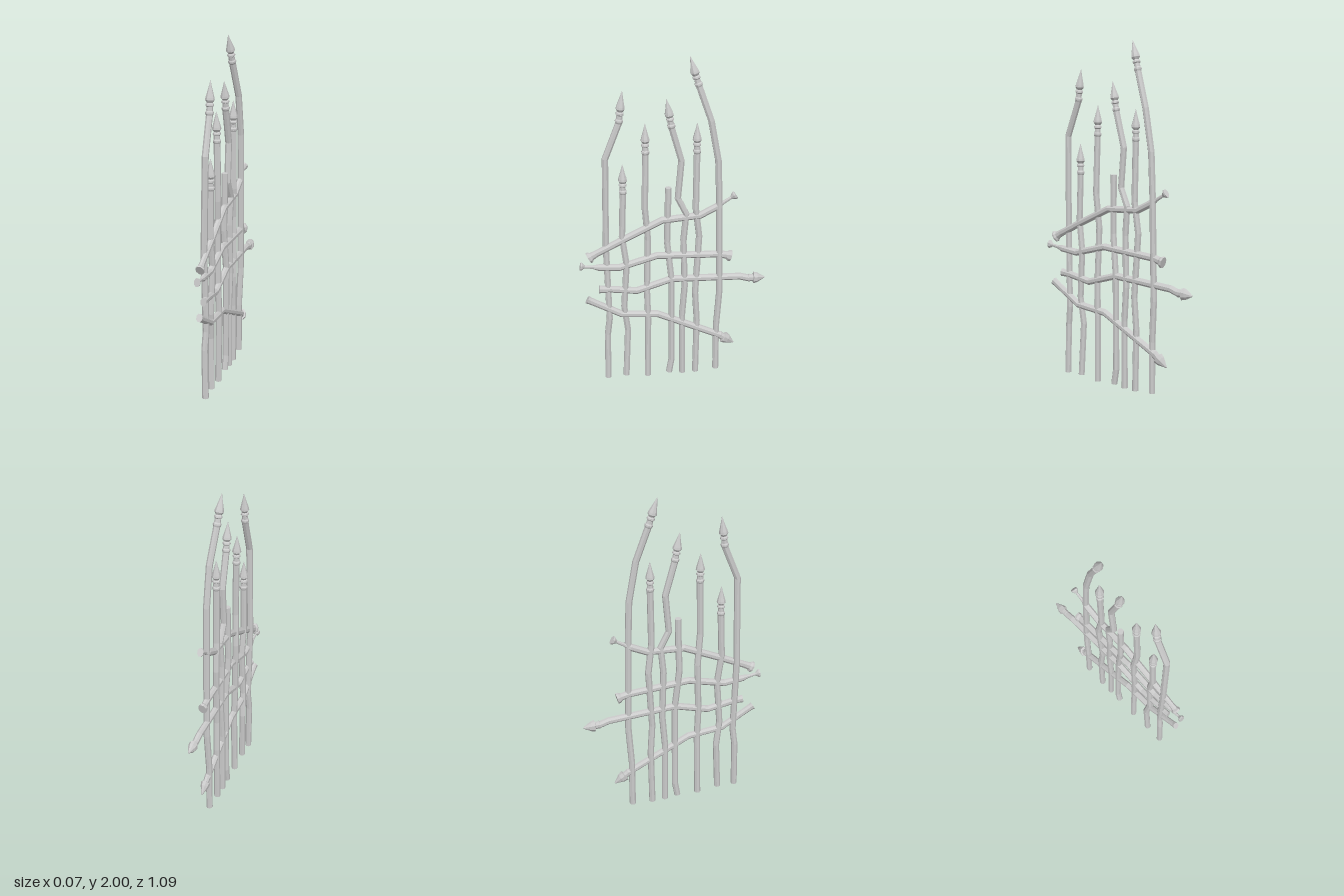
import * as THREE from 'three';

const SIDES = 8;
const material = new THREE.MeshStandardMaterial({ color: 0xcccccc, flatShading: true });

// End profiles: [distance along the end as a fraction, radius]
const SPEAR = [[0, 0.018], [0.05, 0.023], [0.1, 0.023], [0.14, 0.018], [0.25, 0.017], [0.28, 0.023],
  [0.33, 0.022], [0.37, 0.016], [0.45, 0.026], [0.52, 0.024], [0.78, 0.011], [1, 0.001]];
const ARROW = [[0, 0.02], [0.05, 0.025], [0.14, 0.023], [0.3, 0.022], [0.33, 0.036], [0.55, 0.031], [0.8, 0.016], [1, 0.004]];
const FLARE = [[0, 0.021], [0.6, 0.024], [0.8, 0.034], [1, 0.034]];
const NAIL = [[0, 0.02], [0.3, 0.011], [0.75, 0.009], [0.92, 0.025], [1, 0.025]];
const PLAIN = [[0, 0.019], [1, 0.019]];
const BLUNT = [[0, 0.021], [0.7, 0.022], [1, 0.025]];

// Sections of an end piece running from point a to point b
function endSections(a, b, profile, flat) {
  const t = b.clone().sub(a).normalize();
  return profile.map(([f, r]) => ({ p: a.clone().lerp(b, f), t, r, flat }));
}

// Sweeps a faceted ring through the sections and closes both ends
function sweep(sections) {
  const first = sections[0], last = sections[sections.length - 1];
  const rings = [{ ...first, r: 0 }, ...sections, { ...last, r: 0 }];
  const pos = [], index = [];
  rings.forEach(({ p, t, r, flat }, i) => {
    const n = new THREE.Vector3(1, 0, 0).cross(t).normalize();
    const u = t.clone().cross(n);
    for (let k = 0; k < SIDES; k++) {
      const a = ((k + 0.5) / SIDES) * Math.PI * 2;
      const v = p.clone().addScaledVector(n, Math.cos(a) * r).addScaledVector(u, -Math.sin(a) * r * flat);
      pos.push(v.x, v.y, v.z);
      if (i === 0) continue;
      const k2 = (k + 1) % SIDES, A = (i - 1) * SIDES, B = i * SIDES;
      if (rings[i - 1].r > 0) index.push(A + k, B + k2, A + k2);
      if (r > 0) index.push(A + k, B + k, B + k2);
    }
  });
  const g = new THREE.BufferGeometry();
  g.setAttribute('position', new THREE.Float32BufferAttribute(pos, 3));
  g.setIndex(index);
  const out = g.toNonIndexed();
  out.computeVertexNormals();
  return out;
}

// A bent bar: points are [z, y, x]; the first and last spans may carry end profiles
function bar(name, points, radius, { start, end, flat = 1, endFlat = 1 }) {
  const pts = points.map(([z, y, x = 0]) => new THREE.Vector3(x, y, z));
  const dirs = pts.slice(1).map((p, i) => p.clone().sub(pts[i]).normalize());
  let sections = pts.map((p, i) => {
    const t = (dirs[i - 1] || dirs[i]).clone().add(dirs[i] || dirs[i - 1]).normalize();
    return { p, t, r: radius, flat };
  });
  if (start) {
    const s = endSections(pts[1], pts[0], start, endFlat).reverse();
    s.forEach((e) => { e.t = e.t.clone().negate(); });
    sections = [...s, ...sections.slice(2)];
  }
  const [neck, tip] = pts.slice(-2);
  sections = [...sections.slice(0, -1), ...endSections(neck, tip, end, endFlat).slice(1)];
  const mesh = new THREE.Mesh(sweep(sections), material);
  mesh.name = name;
  return mesh;
}

export function createModel() {
  const model = new THREE.Group();
  model.name = 'brokenFence';

  // Upright bars, the last span of each being its spearhead
  const uprights = [
    [[0.4, 0.01], [0.395, 0.31, -0.005], [0.382, 0.42], [0.393, 0.88, -0.006], [0.385, 1.44, 0.002], [0.305, 1.645], [0.283, 1.83]],
    [[0.29, 0.015], [0.275, 0.33, -0.006], [0.295, 0.49], [0.277, 0.77, 0.004], [0.3, 0.95], [0.29, 1.22], [0.29, 1.4]],
    [[0.16, 0], [0.155, 0.4, 0.004], [0.16, 0.6], [0.15, 0.92, -0.006], [0.167, 1.12, 0.002], [0.16, 1.45, -0.004], [0.16, 1.63, -0.008]],
    [[0.03, 0.01], [0.015, 0.1], [0.015, 0.65, 0.004], [0.04, 0.9, -0.004], [0.035, 1.1], [0.033, 1.24]],
    [[-0.05, 0], [-0.048, 0.4], [-0.063, 0.6, 0.003], [-0.055, 0.9], [-0.07, 1.07, 0.004], [-0.022, 1.17], [-0.042, 1.4], [0.013, 1.6], [0.042, 1.77]],
    [[-0.13, 0], [-0.137, 0.36], [-0.125, 0.55, 0.004], [-0.147, 0.92, -0.003], [-0.125, 1.1, 0.003], [-0.13, 1.44], [-0.13, 1.62]],
    [[-0.255, 0.01], [-0.255, 0.31], [-0.27, 0.55, 0.006], [-0.26, 1.13, 0.008], [-0.25, 1.39, 0.009], [-0.207, 1.63, 0.008], [-0.14, 1.83, -0.008], [-0.09, 2, -0.018]],
  ];
  uprights.forEach((pts, i) => {
    const end = i === 3 ? PLAIN : SPEAR;
    model.add(bar(`uprightBar${i + 1}`, pts, 0.019, { end }));
  });

  // Crooked rails woven through the uprights
  const rails = [
    [[[0.495, 0.83], [0.45, 0.855], [0.28, 0.94], [0.07, 1.04], [-0.15, 1.055], [-0.25, 1.105], [-0.355, 1.17]], FLARE, NAIL],
    [[[0.545, 0.78], [0.44, 0.765], [0.32, 0.755], [0.1, 0.815], [-0.27, 0.795], [-0.335, 0.778]], NAIL, FLARE],
    [[[0.44, 0.62], [0.37, 0.615], [0.22, 0.593], [0.015, 0.655], [-0.39, 0.637], [-0.44, 0.622], [-0.54, 0.618]], BLUNT, ARROW],
    [[[0.51, 0.557], [0.46, 0.528], [0.31, 0.443], [0.1, 0.425], [-0.27, 0.247], [-0.362, 0.182]], BLUNT, ARROW],
  ];
  rails.forEach(([pts, start, end], i) => {
    const path = pts.map(([z, y]) => [z, y, 0.004]);
    model.add(bar(`rail${i + 1}`, path, 0.021, { start, end, flat: 0.9, endFlat: 0.75 }));
  });
  return model;
}
